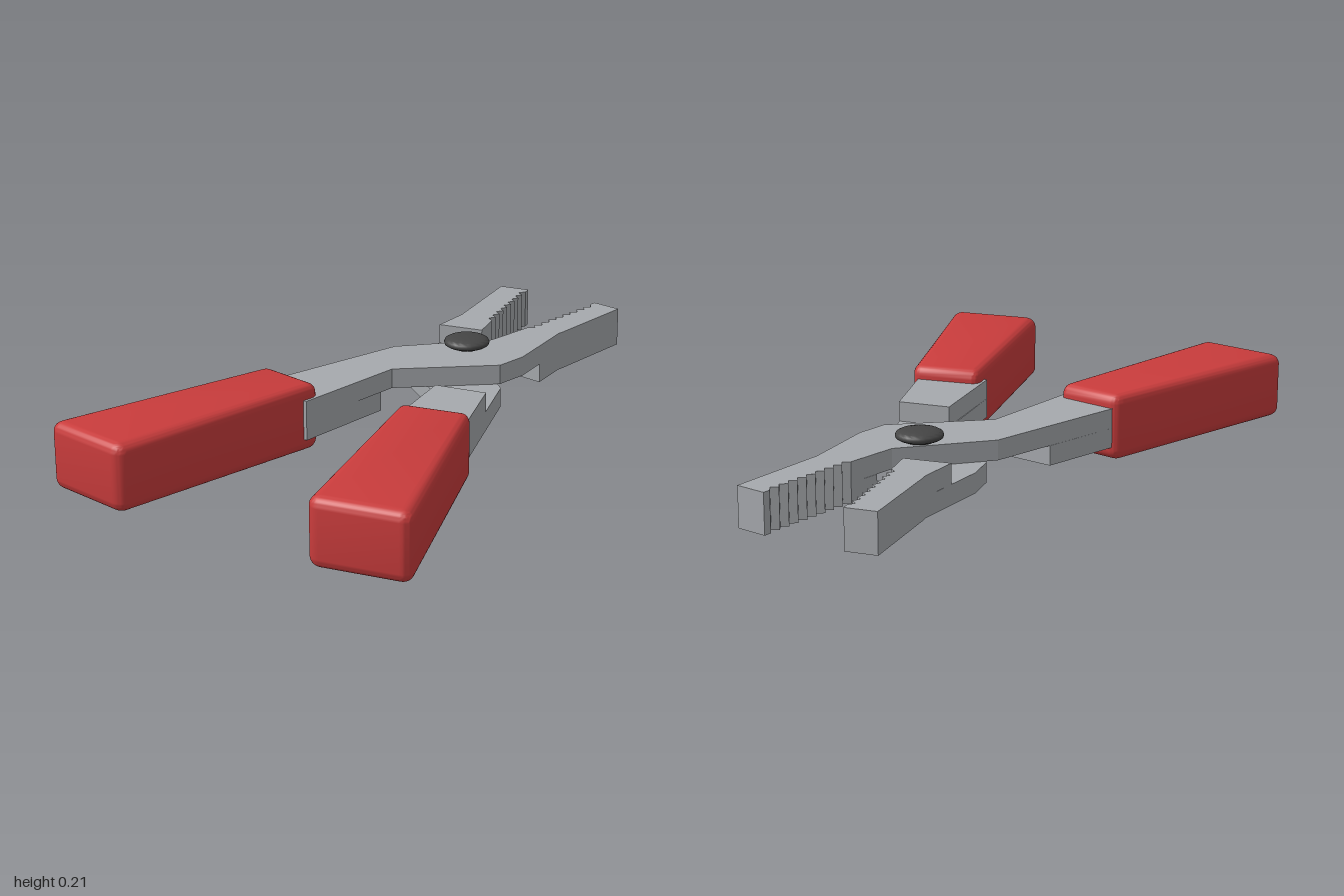
import * as THREE from 'three';
import { toCreasedNormals } from 'three/addons/utils/BufferGeometryUtils.js';
import { RoundedBoxGeometry } from 'three/addons/geometries/RoundedBoxGeometry.js';

const MID = 0.107;    // height of the plane where the two halves meet
const HALF = 0.064;   // thickness of one layer of steel
const PIVOT_Z = -0.37;

const steel = new THREE.MeshStandardMaterial({ color: 0xa6a9ad });
steel.name = 'steel';
const rubber = new THREE.MeshStandardMaterial({ color: 0xc93c3c });
rubber.name = 'red rubber';
const dark = new THREE.MeshStandardMaterial({ color: 0x454545 });
dark.name = 'dark rivet';

function part(name, geometry, material) {
  const mesh = new THREE.Mesh(geometry, material);
  mesh.name = name;
  return mesh;
}

// Flat plate from an outline of [x, z] points, between heights y0 and y1
function plate(points, y0, y1) {
  const shape = new THREE.Shape(points.map(([x, z]) => new THREE.Vector2(x, -z)));
  const geo = new THREE.ExtrudeGeometry(shape, { depth: y1 - y0, bevelEnabled: false });
  return geo.rotateX(-Math.PI / 2).translate(0, y0, 0);
}

// Saw teeth along the inner edge of the jaw, from root to tip
function teeth() {
  const count = 9, points = [];
  const root = [0.069, -0.645], tip = [0.128, -0.975];
  for (let i = 0; i < count; i++) {
    const at = (t) => [
      THREE.MathUtils.lerp(root[0], tip[0], t),
      THREE.MathUtils.lerp(root[1], tip[1], t),
    ];
    const [px, pz] = at(i / count);
    const [vx, vz] = at((i + 0.4) / count);
    points.push([px, pz], [vx + 0.018, vz]);
  }
  points.push(tip);
  return points;
}

// Rounded box whose plan is stretched onto four corners
function gripGeometry() {
  const w = 0.27, l = 0.73;
  const nearL = [-0.372, 0.212], nearR = [-0.148, 0.256];
  const farL = [-0.634, 0.949], farR = [-0.326, 1.004];
  const geo = new RoundedBoxGeometry(w, 2 * MID, l, 4, 0.032);
  const pos = geo.attributes.position;
  for (let i = 0; i < pos.count; i++) {
    const u = pos.getX(i) / w + 0.5, v = pos.getZ(i) / l + 0.5;
    const mix = (k) => (1 - v) * ((1 - u) * nearL[k] + u * nearR[k])
      + v * ((1 - u) * farL[k] + u * farR[k]);
    pos.setX(i, mix(0));
    pos.setZ(i, mix(1));
  }
  return toCreasedNormals(geo, 0.6);
}

// One half: handle on the right, jaw on the left, lying above the joint plane
function createHalf(name) {
  const half = new THREE.Group();
  half.name = name;
  const jawEnd = [...teeth(), [0.132, -1], [0.232, -0.984], [0.19, -0.67], [0.186, -0.65]];
  const handleEnd = [[-0.152, 0.32], [-0.388, 0.32]];
  const handleStep = [[-0.27, -0.042], [-0.102, -0.016]];
  const jawStep = [[0.193, -0.513], [0.045, -0.54]];

  const bar = [
    [-0.201, -0.249], [0.032, -0.476], ...jawEnd, [0.201, -0.386], [0.18, -0.28],
    [-0.09, -0.063], ...handleEnd,
  ];
  half.add(part('bar', plate(bar, 0, HALF), steel));
  // Thicker ends reaching past the joint plane
  half.add(part('jaw', plate([...jawEnd, ...jawStep], -HALF, 0), steel));
  half.add(part('handleShank', plate([...handleStep, ...handleEnd], -HALF, 0), steel));
  half.add(part('grip', gripGeometry(), rubber));
  half.position.y = MID;
  return half;
}

// Rivet with a low domed head at each end
function createRivet() {
  const top = [[0.045, 0.072], [0.064, 0.072], [0.072, 0.077], [0.074, 0.084],
    [0.071, 0.091], [0.062, 0.096], [0.04, 0.1], [0, 0.102]];
  const bottom = top.map(([r, y]) => [r, -y]).reverse();
  const profile = [...bottom, ...top].map(([r, y]) => new THREE.Vector2(r, y));
  const rivet = part('rivet', toCreasedNormals(new THREE.LatheGeometry(profile, 32), 0.8), dark);
  rivet.position.set(0, MID, PIVOT_Z);
  return rivet;
}

export function createModel() {
  const model = new THREE.Group();
  model.name = 'pliers';
  const upper = createHalf('upperHalf');
  const lower = createHalf('lowerHalf');
  lower.rotation.z = Math.PI; // same half turned over
  model.add(upper, lower, createRivet());
  return model;
}
